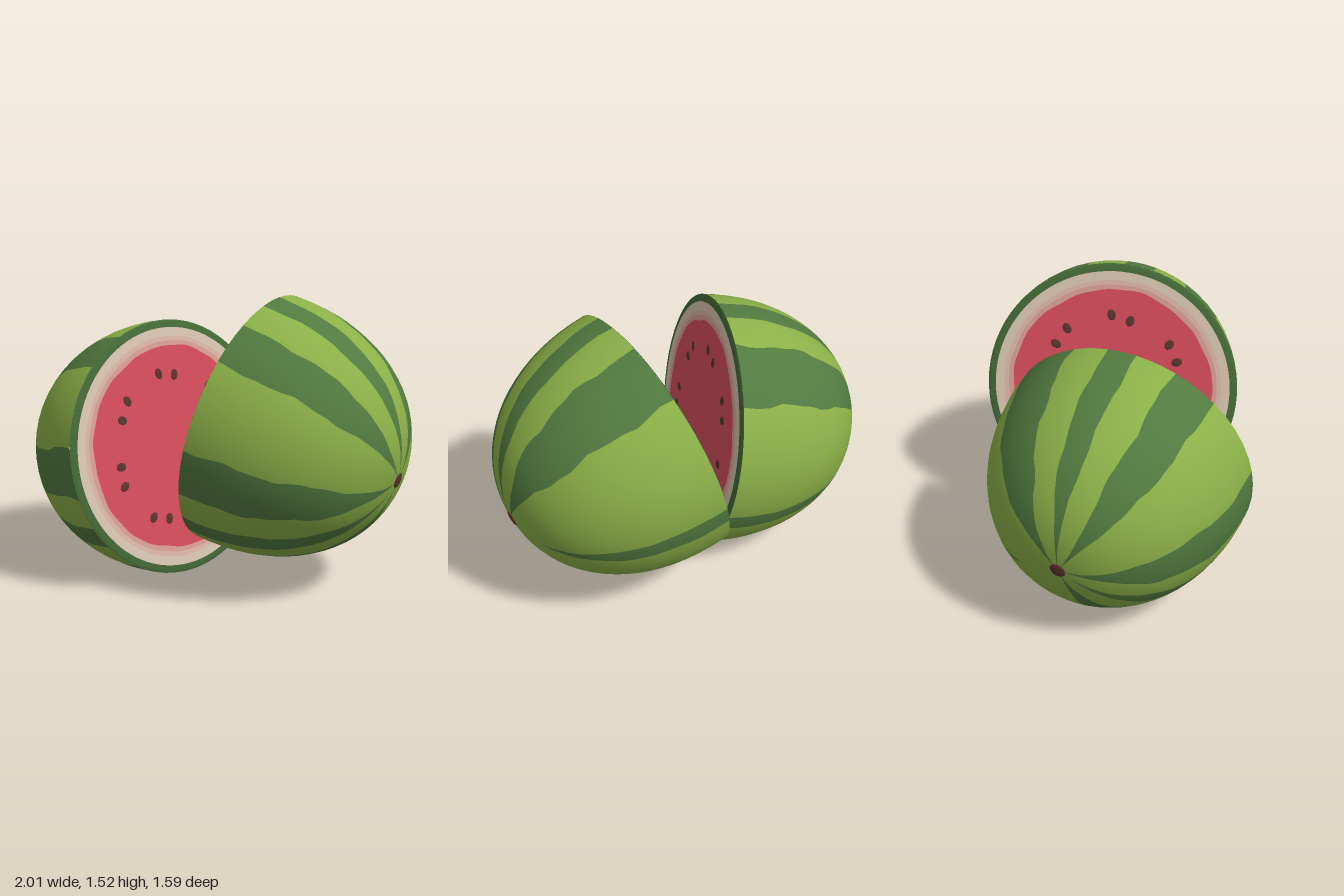
import * as THREE from 'three';

const R = 0.68, LEN = 0.852, FACE = 0.009; // cut radius, dome length, face height
const FULL = 0.945; // below 1 makes the dome shoulders fuller than an ellipse
const RAD = Math.PI / 180;

const mat = (name, color) => {
  const m = new THREE.MeshStandardMaterial({ color });
  m.name = name;
  return m;
};

const M = {
  light: mat('light green skin', 0x8bb048),
  dark: mat('dark green skin', 0x527a40),
  rim: mat('deep green rim', 0x446937),
  rind: mat('cream rind', 0xd9c5b0),
  palePink: mat('pale pink rind', 0xdcb5a7),
  pink: mat('salmon flesh', 0xd99d91),
  red: mat('red flesh', 0xd64c5b),
  seed: mat('dark brown seed', 0x5a352e),
  tip: mat('brown tip', 0x5e322e),
};

// Stripes: centre angle, half width (degrees), where it ends (0 rim, 1 tip)
const STRIPES = [
  [-80, 13, 0.98], [-45, 6, 0.95], [-13, 11, 0.98], [46, 10, 0.98],
  [79, 6.5, 0.97], [116, 14, 0.99], [189, 4.5, 0.8],
];

function mesh(name, geometry, material) {
  const m = new THREE.Mesh(geometry, material);
  m.name = name;
  return m;
}

// One skin panel of the half melon between two wavy meridians
function skinBand(from, to) {
  const rows = 20;
  const cols = Math.max(3, Math.ceil((to(0) - from(0)) / 8));
  const pos = [], normal = [], index = [];
  for (let r = 0; r <= rows; r++) {
    const f = r / rows;
    const c0 = Math.max(0, Math.cos(f * Math.PI / 2)), s0 = Math.sin(f * Math.PI / 2);
    for (let c = 0; c <= cols; c++) {
      const th = THREE.MathUtils.lerp(from(f), to(f), c / cols) * RAD;
      const x = Math.cos(th), z = -Math.sin(th);
      pos.push(x * c0 ** FULL, -(s0 ** FULL), z * c0 ** FULL);
      normal.push(x * c0 ** (2 - FULL), -(s0 ** (2 - FULL)), z * c0 ** (2 - FULL));
      if (r < rows && c < cols) {
        const a = r * (cols + 1) + c, b = a + cols + 1;
        index.push(a, b, a + 1, a + 1, b, b + 1);
      }
    }
  }
  const g = new THREE.BufferGeometry();
  g.setAttribute('position', new THREE.Float32BufferAttribute(pos, 3));
  g.setAttribute('normal', new THREE.Float32BufferAttribute(normal, 3));
  g.setIndex(index);
  return g.scale(R, LEN, R);
}

// Outline of a face layer; wave roughens the edge
function outline(radius, wave) {
  const pts = [];
  for (let i = 0; i < 96; i++) {
    const a = i / 96 * Math.PI * 2;
    const r = R * (radius + wave * (Math.sin(5 * a + 1) + 0.6 * Math.sin(11 * a) + 0.5 * Math.sin(19 * a + 2)));
    pts.push(new THREE.Vector2(r * Math.cos(a), r * Math.sin(a)));
  }
  return pts;
}

function faceLayer(outer, inner) {
  const shape = new THREE.Shape(outline(...outer));
  if (inner) shape.holes.push(new THREE.Path(outline(...inner)));
  return new THREE.ShapeGeometry(shape).rotateX(-Math.PI / 2).translate(0, FACE, 0);
}

function halfMelon(name, centre, normal, stripes, firstSeed) {
  const half = new THREE.Group();
  half.name = name;

  // Striped skin
  const edge = (i, side) => {
    const n = stripes.length, [c, w, end] = stripes[i % n];
    const turn = i >= n ? 360 : 0;
    return (f) => {
      const taper = Math.pow(THREE.MathUtils.clamp((end - f) / 0.4, 0, 1), 0.6);
      const wave = 1 + 0.07 * Math.sin(f * 19 + i % n * 2 + side) + 0.04 * Math.sin(f * 43 + side * 2);
      return c + turn + side * w * taper * wave;
    };
  };
  stripes.forEach((s, i) => {
    half.add(mesh('darkStripe', skinBand(edge(i, -1), edge(i, 1)), M.dark));
    half.add(mesh('lightSkin', skinBand(edge(i, 1), edge(i + 1, -1)), M.light));
  });

  // Rounded skin edge around the cut
  const rim = [[R, 0], [0.98 * R, 0.007], [0.935 * R, FACE]].map((p) => new THREE.Vector2(...p));
  half.add(mesh('cutRim', new THREE.LatheGeometry(rim, 72), M.rim));

  // Cut face layers
  const steps = [[0.94, 0], [0.87, 0.002], [0.835, 0.003], [0.797, 0.006]];
  half.add(mesh('rind', faceLayer(steps[0], steps[1]), M.rind));
  half.add(mesh('innerRind', faceLayer(steps[1], steps[2]), M.palePink));
  half.add(mesh('outerFlesh', faceLayer(steps[2], steps[3]), M.pink));
  half.add(mesh('flesh', faceLayer(steps[3]), M.red));

  // Seven pairs of seeds in a ring
  const seedShape = new THREE.SphereGeometry(1, 12, 8).scale(0.03, 0.004, 0.023);
  for (let i = 0; i < 7; i++) {
    for (const side of [-1, 1]) {
      const a = (firstSeed + i * 360 / 7 + side * 7.5) * RAD;
      const r = 0.395 + 0.012 * Math.sin(i * 3 + side);
      const seed = mesh('seed', seedShape, M.seed);
      seed.position.set(r * Math.cos(a), FACE, -r * Math.sin(a));
      seed.rotation.y = a + side * 0.15;
      half.add(seed);
    }
  }

  // Brown spot at the pole
  const tip = mesh('tip', new THREE.SphereGeometry(1, 10, 6).scale(0.042, 0.008, 0.042), M.tip);
  tip.position.y = -LEN;
  half.add(tip);

  // Lean the half so its cut face looks along the normal
  const n = new THREE.Vector3(...normal).normalize();
  const h = new THREE.Vector3(0, 1, 0).cross(n).normalize();
  const k = new THREE.Vector3().crossVectors(h, n);
  half.quaternion.setFromRotationMatrix(new THREE.Matrix4().makeBasis(h, n, k));
  half.position.set(...centre);
  return half;
}

export function createModel() {
  const model = new THREE.Group();
  model.name = 'cutWatermelon';
  const mirrored = STRIPES.map(([c, w, end]) => [170 - c, w, end]).reverse();
  model.add(halfMelon('rightHalf', [-0.228, 0.688, -0.012], [0.68, 0.17, 0.713], mirrored, 92));
  model.add(halfMelon('leftHalf', [0.182, 0.858, 0.06], [-0.85, 0.26, -0.458], STRIPES, 84));
  return model;
}
